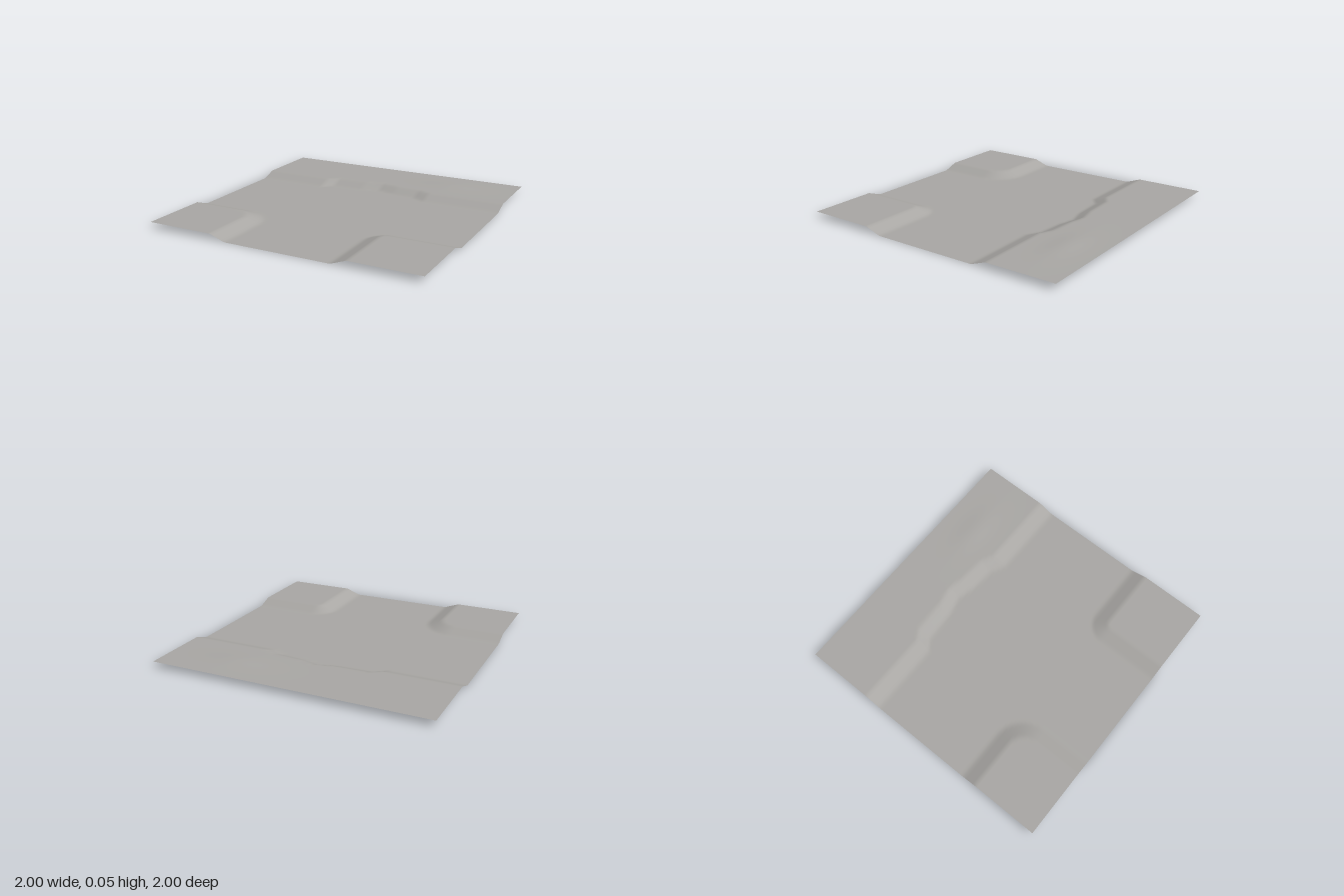
import * as THREE from 'three';

const BANK = 0.04;   // height of the raised ground
const FOOT = 0.39;   // where the banks begin
const SLOPE = 0.11;  // width of a bank

// Extra setback of the rear bank along x: [x, setback]
const SETBACK = [[-1, 0], [-0.46, 0], [-0.38, 0.06], [-0.14, 0.07], [0, 0.105],
  [0.14, 0.07], [0.32, 0.055], [0.42, 0], [1, 0]];

function setback(x) {
  for (let i = 1; i < SETBACK.length; i++) {
    const [x0, s0] = SETBACK[i - 1], [x1, s1] = SETBACK[i];
    if (x <= x1) return THREE.MathUtils.lerp(s0, s1, (x - x0) / (x1 - x0));
  }
  return 0;
}

// Distance inside a front corner plot with a rounded inner corner
function cornerDepth(x, z) {
  const r = x < 0 ? 0.24 : 0.15;
  const u = Math.abs(x) - FOOT, v = z - FOOT;
  if (u < r && v < r) return r - Math.hypot(r - u, r - v);
  return Math.min(u, v);
}

const ramp = (d, width) => BANK * THREE.MathUtils.clamp(d / width, 0, 1);

function groundHeight(x, z) {
  if (z > 0) return ramp(cornerDepth(x, z), SLOPE);
  const s = setback(x);
  const h = ramp(-z - FOOT - s, SLOPE - 0.2 * s);
  // gentle swell on the rear ground
  const swell = 0.008 * Math.exp(-(((x - 0.5) / 0.22) ** 2) - ((z + 0.75) / 0.1) ** 2);
  return h + swell * (h / BANK);
}

export function createModel() {
  const group = new THREE.Group();
  group.name = 'roadJunctionTile';

  const ground = new THREE.MeshStandardMaterial({ color: 0xaaa8a5, side: THREE.DoubleSide });
  ground.name = 'warm grey ground';

  // One smooth sheet: a sunken T-junction between raised plots
  const geometry = new THREE.PlaneGeometry(2, 2, 100, 100).rotateX(-Math.PI / 2);
  const p = geometry.attributes.position;
  for (let i = 0; i < p.count; i++) p.setY(i, groundHeight(p.getX(i), p.getZ(i)));
  geometry.computeVertexNormals();

  const sheet = new THREE.Mesh(geometry, ground);
  sheet.name = 'groundSheet';
  group.add(sheet);
  return group;
}
